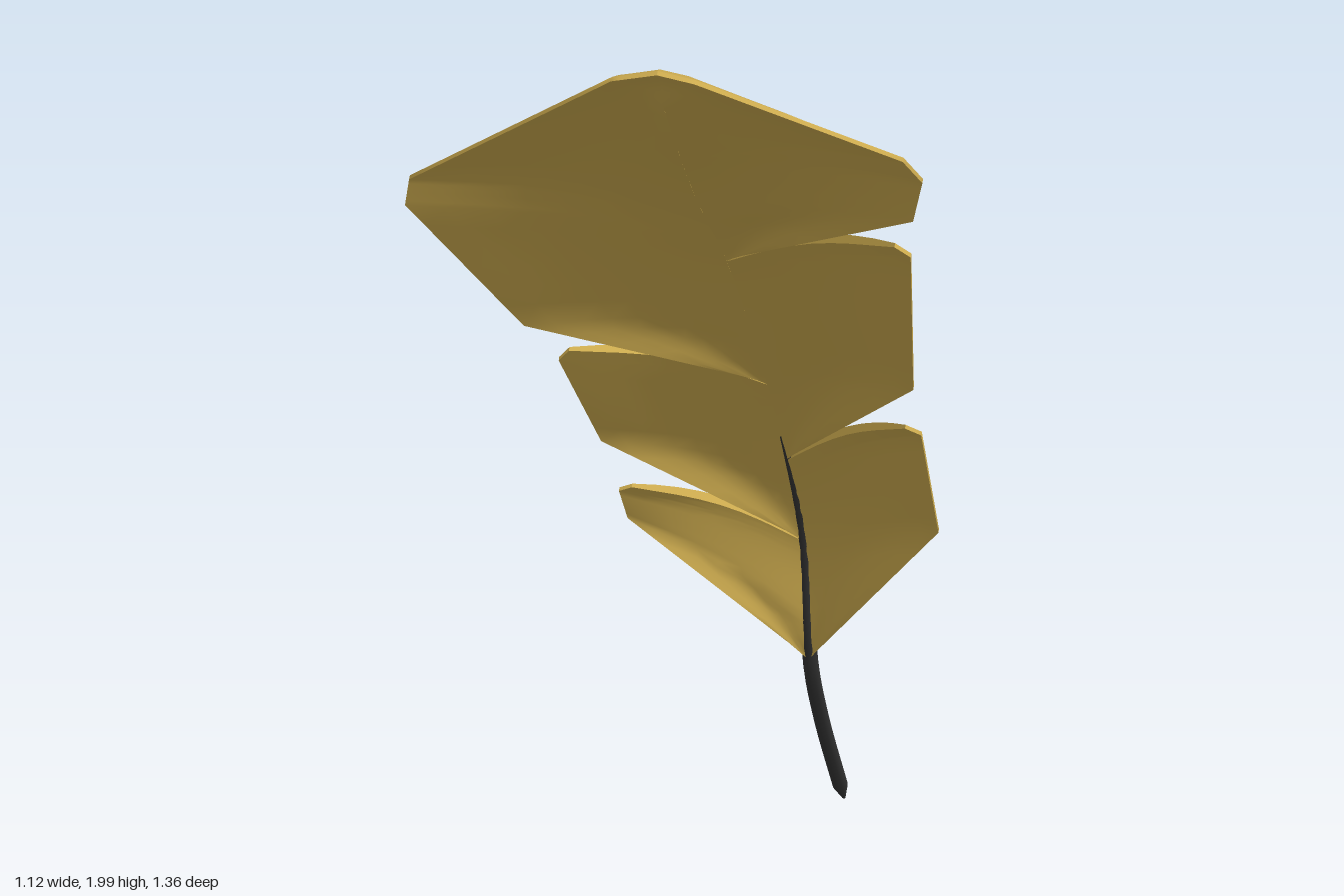
import * as THREE from 'three';
import { toCreasedNormals } from 'three/addons/utils/BufferGeometryUtils.js';

const v = (x, y, z) => new THREE.Vector3(x, y, z);
const UP = v(0.45, 0.7, -0.55).normalize(); // convex side of the feather

// Curved spine running from the bare base to the tip
const spine = new THREE.CatmullRomCurve3([
  v(0.555, 0.005, -0.675), v(0.43, 0.28, -0.52), v(0.365, 0.45, -0.43), v(0.327, 0.7, -0.38), v(0.24, 0.93, -0.27),
  v(0.11, 1.2, -0.1), v(-0.008, 1.42, 0.05), v(-0.14, 1.62, 0.22), v(-0.34, 1.92, 0.545),
]);
const samples = spine.getPoints(400);
const spineAt = (y) => (samples.find((p) => p.y >= y) || samples[400]).clone();

// Tapered shaft with a pointed foot
function shaftGeometry() {
  const rings = 48, sides = 8;
  const g = new THREE.TubeGeometry(spine, rings, 1, sides);
  const pos = g.attributes.position;
  for (let i = 0; i < pos.count; i++) {
    const t = Math.floor(i / (sides + 1)) / rings;
    const r = t === 0 ? 0.003 : t < 0.35 ? 0.013 : 0.013 - 0.010 * (t - 0.35) / 0.65;
    const c = spine.getPointAt(t);
    const p = v().fromBufferAttribute(pos, i).sub(c).multiplyScalar(r).add(c).addScaledVector(UP, 0.004);
    pos.setXYZ(i, p.x, p.y, p.z);
  }
  g.computeVertexNormals();
  return g;
}

// Thin closed blade lofted from rows [height on spine, edge x, y, z]; the first row
// is a point on the spine. side = 1 for the feather's +x half, -1 for the other.
function bladeGeometry(startY, rows, side) {
  const N = 8, STEPS = 6, bulge = 0.018;
  const keys = [{ y: startY, e: spineAt(startY) }, ...rows.map(([y, ...e]) => ({ y, e: v(...e) }))];
  const sections = [];
  keys.slice(1).forEach((k, i) => {
    const a = keys[i];
    for (let s = i ? 1 : 0; s <= STEPS; s++) {
      const t = s / STEPS;
      sections.push([spineAt(a.y + (k.y - a.y) * t), a.e.clone().lerp(k.e, t)]);
    }
  });
  const pos = [], idx = [], ring = 2 * (N + 1);
  for (const [q, e] of sections) {
    const lift = bulge * Math.min(1, q.distanceTo(e) / 0.25);
    for (let j = 0; j < ring; j++) {
      const top = j <= N, u = (top ? j : ring - 1 - j) / N;
      const half = 0.007 - 0.004 * u ** 6;
      const p = q.clone().lerp(e, u).addScaledVector(UP, lift * Math.sin(Math.PI * u) + (top ? half : -half));
      pos.push(p.x, p.y, p.z);
    }
  }
  const quad = (a, b, c, d) => (side > 0 ? idx.push(a, b, c, a, c, d) : idx.push(a, c, b, a, d, c));
  for (let i = 0; i < sections.length - 1; i++) {
    for (let j = 0; j < ring; j++) {
      const k = (j + 1) % ring, r = i * ring;
      quad(r + j, r + k, r + ring + k, r + ring + j);
    }
  }
  // Close the last section
  const r = (sections.length - 1) * ring;
  for (let j = 0; j < N; j++) quad(r + j, r + j + 1, r + ring - 2 - j, r + ring - 1 - j);
  const g = new THREE.BufferGeometry();
  g.setAttribute('position', new THREE.Float32BufferAttribute(pos, 3));
  g.setIndex(idx);
  return toCreasedNormals(g, 0.7);
}

export function createModel() {
  const group = new THREE.Group();
  group.name = 'feather';
  const gold = new THREE.MeshStandardMaterial({ color: 0xd0ae50, side: THREE.DoubleSide });
  const dark = new THREE.MeshStandardMaterial({ color: 0x333333 });

  const shaft = new THREE.Mesh(shaftGeometry(), dark);
  shaft.name = 'shaft';
  group.add(shaft);

  // Vane segments separated by the splits
  const blades = [
    ['leftLowerVane', 1, 0.45, [[0.65, 0.43, 0.81, -0.12], [0.86, 0.325, 1.06, 0.015], [0.9, 0.295, 1.08, 0.02]]],
    ['leftMiddleVane', 1, 0.9, [[1.12, 0.26, 1.19, 0.11], [1.39, 0.07, 1.58, 0.455], [1.43, 0.045, 1.6, 0.455]]],
    ['leftTipVane', 1, 1.43, [[1.55, 0.012, 1.69, 0.57], [1.7, -0.015, 1.78, 0.645],
      [1.75, -0.06, 1.83, 0.675], [1.92, -0.35, 1.985, 0.665], [1.92, -0.39, 1.995, 0.64]]],
    ['rightLowerVane', -1, 0.45, [[0.53, 0.035, 0.79, -0.405], [0.66, 0.005, 0.86, -0.37], [0.7, 0.02, 0.87, -0.355]]],
    ['rightMiddleVane', -1, 0.7, [[0.85, -0.055, 0.99, -0.3], [1.05, -0.19, 1.22, -0.145], [1.1, -0.18, 1.24, -0.13]]],
    ['rightTipVane', -1, 1.1, [[1.25, -0.28, 1.33, -0.06], [1.46, -0.555, 1.67, 0.19], [1.55, -0.56, 1.72, 0.22],
      [1.92, -0.435, 1.98, 0.6], [1.92, -0.39, 1.995, 0.64]]],
  ];
  for (const [name, side, start, rows] of blades) {
    const mesh = new THREE.Mesh(bladeGeometry(start, rows, side), gold);
    mesh.name = name;
    group.add(mesh);
  }
  return group;
}
